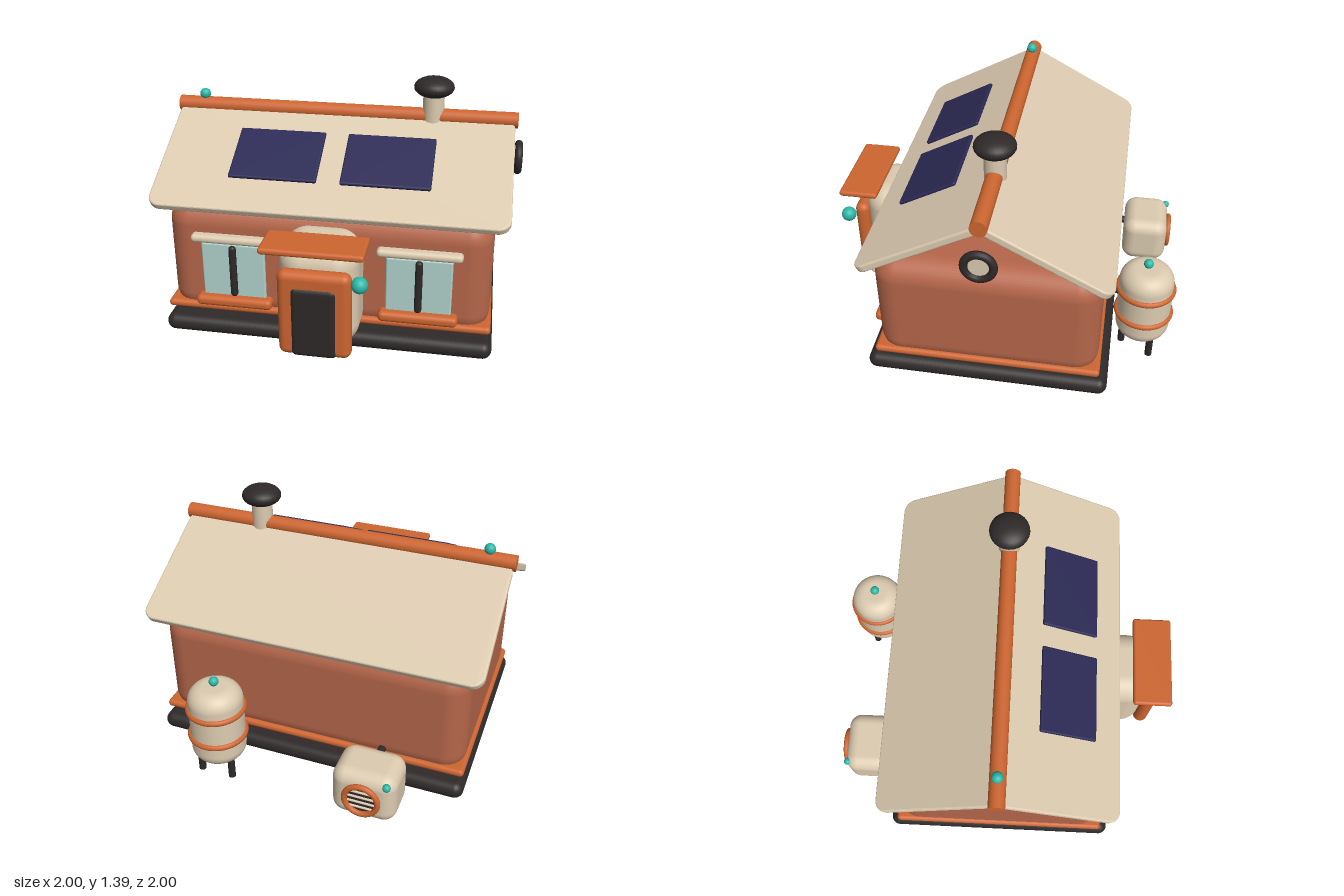
import * as THREE from 'three';
import { RoundedBoxGeometry } from 'three/addons/geometries/RoundedBoxGeometry.js';

const mat = (name, color) => {
  const m = new THREE.MeshStandardMaterial({ color });
  m.name = name;
  return m;
};

export function createModel() {
  const cream = mat('cream', 0xdccbb0);
  const clay = mat('terracotta', 0xb5664a);
  const orange = mat('orange', 0xcd6530);
  const dark = mat('charcoal', 0x2f2929);
  const navy = mat('navy', 0x2b2954);
  const glass = mat('glass', 0xb0d2cc);
  const teal = mat('teal', 0x2bb8a8);

  const model = new THREE.Group();
  model.name = 'house';

  const add = (name, geo, m, x, y, z, parent = model) => {
    const mesh = new THREE.Mesh(geo, m);
    mesh.name = name;
    mesh.position.set(x, y, z);
    parent.add(mesh);
    return mesh;
  };
  // Rounded box given by its extents on each axis
  const box = (name, m, [x0, x1], [y0, y1], [z0, z1], r, parent) =>
    add(name, new RoundedBoxGeometry(x1 - x0, y1 - y0, z1 - z0, 6, r), m,
      (x0 + x1) / 2, (y0 + y1) / 2, (z0 + z1) / 2, parent);
  const ball = (name, m, r, x, y, z) => add(name, new THREE.SphereGeometry(r, 24, 16), m, x, y, z);
  const rod = (name, m, r, len, x, y, z, axis = 'y') => {
    const mesh = add(name, new THREE.CylinderGeometry(r, r, len, 32), m, x, y, z);
    if (axis === 'x') mesh.rotation.z = Math.PI / 2;
    if (axis === 'z') mesh.rotation.x = Math.PI / 2;
    return mesh;
  };
  const ring = (name, m, R, r, x, y, z) => add(name, new THREE.TorusGeometry(R, r, 14, 48), m, x, y, z);

  // Foundation, walls and skirting
  box('foundation', dark, [-0.94, 0.895], [0.01, 0.11], [-0.66, 0.69], 0.05);
  box('walls', clay, [-0.915, 0.87], [0.11, 0.79], [-0.6, 0.625], 0.13);
  box('skirtingTrim', orange, [-0.93, 0.883], [0.145, 0.19], [-0.615, 0.64], 0.022);

  // Roof: two round-cornered slabs leaning on the ridge
  const roof = new THREE.Group();
  roof.name = 'roof';
  roof.position.set(-0.022, 0, 0.012);
  model.add(roof);
  const pitch = Math.atan(0.54);
  const thick = 0.045, bevel = 0.01;
  const hw = 0.967 - bevel, hl = 0.383 - bevel, c = 0.06;
  const slab = new THREE.Shape();
  slab.moveTo(-hw + c, -hl);
  slab.lineTo(hw - c, -hl);
  slab.absarc(hw - c, -hl + c, c, -Math.PI / 2, 0);
  slab.lineTo(hw, hl - c);
  slab.absarc(hw - c, hl - c, c, 0, Math.PI / 2);
  slab.lineTo(-hw + c, hl);
  slab.absarc(-hw + c, hl - c, c, Math.PI / 2, Math.PI);
  slab.lineTo(-hw, -hl + c);
  slab.absarc(-hw + c, -hl + c, c, Math.PI, Math.PI * 1.5);
  const slabGeo = new THREE.ExtrudeGeometry(slab, {
    depth: thick - 2 * bevel, bevelThickness: bevel, bevelSize: bevel, bevelSegments: 3, curveSegments: 8,
  }).center();
  // Places a flat part on the front slope, lifted along the slope's normal
  const onSlope = (name, geo, m, x, z, lift, parent) => {
    const mesh = add(name, geo, m, x, 1.17 - 0.54 * z + lift * Math.cos(pitch), z + lift * Math.sin(pitch), parent);
    mesh.rotation.x = pitch - Math.PI / 2;
  };
  for (const [side, turn] of [['front', 0], ['back', Math.PI]]) {
    const slope = new THREE.Group();
    slope.name = side + 'Slope';
    slope.rotation.y = turn;
    roof.add(slope);
    onSlope(side + 'RoofSlab', slabGeo, cream, 0, 0.337, -thick / 2, slope);
  }
  for (const x of [-0.306, 0.305])
    onSlope('solarPanel', new RoundedBoxGeometry(0.485, 0.355, 0.022, 3, 0.01), navy, x, 0.348, 0.035, roof);
  rod('ridgeBeam', orange, 0.045, 1.96, -0.02, 1.162, 0.012, 'x');
  ball('ridgeLamp', teal, 0.031, -0.85, 1.225, 0.01);

  // Chimney
  rod('chimney', cream, 0.06, 0.22, 0.487, 1.2, 0.012);
  ball('chimneyCap', dark, 0.113, 0.487, 1.332, 0.012).scale.y = 0.52;

  // Round gable vent
  ring('ventRing', dark, 0.075, 0.022, 0.976, 0.945, 0.012).rotation.y = Math.PI / 2;
  rod('ventDisc', cream, 0.068, 0.035, 0.962, 0.945, 0.012, 'x');

  // Front windows
  for (const x of [-0.532, 0.488]) {
    box('windowGlass', glass, [x - 0.178, x + 0.178], [0.25, 0.575], [0.6, 0.642], 0.01);
    box('windowMullion', dark, [x - 0.02, x + 0.02], [0.26, 0.57], [0.625, 0.665], 0.018);
    box('windowLintel', cream, [x - 0.228, x + 0.228], [0.583, 0.63], [0.6, 0.672], 0.022);
    box('windowSill', orange, [x - 0.215, x + 0.215], [0.2, 0.26], [0.6, 0.688], 0.026);
  }

  // Entrance porch
  box('porch', cream, [-0.235, 0.19], [0.11, 0.72], [0.52, 0.88], 0.13);
  box('doorFrame', orange, [-0.215, 0.172], [0.11, 0.605], [0.855, 0.943], 0.042);
  box('door', dark, [-0.146, 0.102], [0.112, 0.526], [0.885, 0.953], 0.033);
  box('awning', orange, [-0.29, 0.245], [0.722, 0.758], [0.768, 0.993], 0.016);
  ball('doorLamp', teal, 0.043, 0.22, 0.58, 0.957);

  // Water tank on three legs
  const tx = 0.422, tz = -0.828;
  const profile = new THREE.Path();
  profile.moveTo(0, 0.105);
  profile.lineTo(0.073, 0.105);
  profile.absarc(0.073, 0.185, 0.08, -Math.PI / 2, 0);
  profile.lineTo(0.153, 0.485);
  profile.absarc(0.063, 0.485, 0.09, 0, Math.PI / 2);
  profile.lineTo(0, 0.575);
  add('waterTank', new THREE.LatheGeometry(profile.getPoints(8), 40), cream, tx, 0, tz);
  for (const y of [0.265, 0.435]) ring('tankHoop', orange, 0.152, 0.017, tx, y, tz).rotation.x = Math.PI / 2;
  for (let i = 0; i < 3; i++) {
    const a = (i * 2 * Math.PI) / 3;
    rod('tankLeg', dark, 0.02, 0.15, tx + 0.108 * Math.sin(a), 0.075, tz + 0.108 * Math.cos(a));
  }
  ball('tankLamp', teal, 0.027, tx, 0.604, tz);
  rod('tankPipe', dark, 0.02, 0.14, tx, 0.387, -0.64, 'z');

  // Heat pump behind the house
  const px = -0.468, py = 0.158;
  box('heatPump', cream, [px - 0.179, px + 0.179], [0.008, 0.308], [-0.958, -0.68], 0.075);
  ring('fanRing', orange, 0.092, 0.016, px, py, -0.968);
  rod('fanBack', dark, 0.088, 0.012, px, py, -0.955, 'z');
  for (const dy of [-0.051, -0.017, 0.017, 0.051])
    rod('fanSlat', cream, 0.007, 2 * Math.sqrt(0.085 ** 2 - dy * dy), px, py + dy, -0.963, 'x');
  ball('pumpLamp', teal, 0.022, -0.6, 0.27, -0.945);
  rod('pumpPipe', dark, 0.022, 0.14, px, 0.21, -0.64, 'z');

  return model;
}
